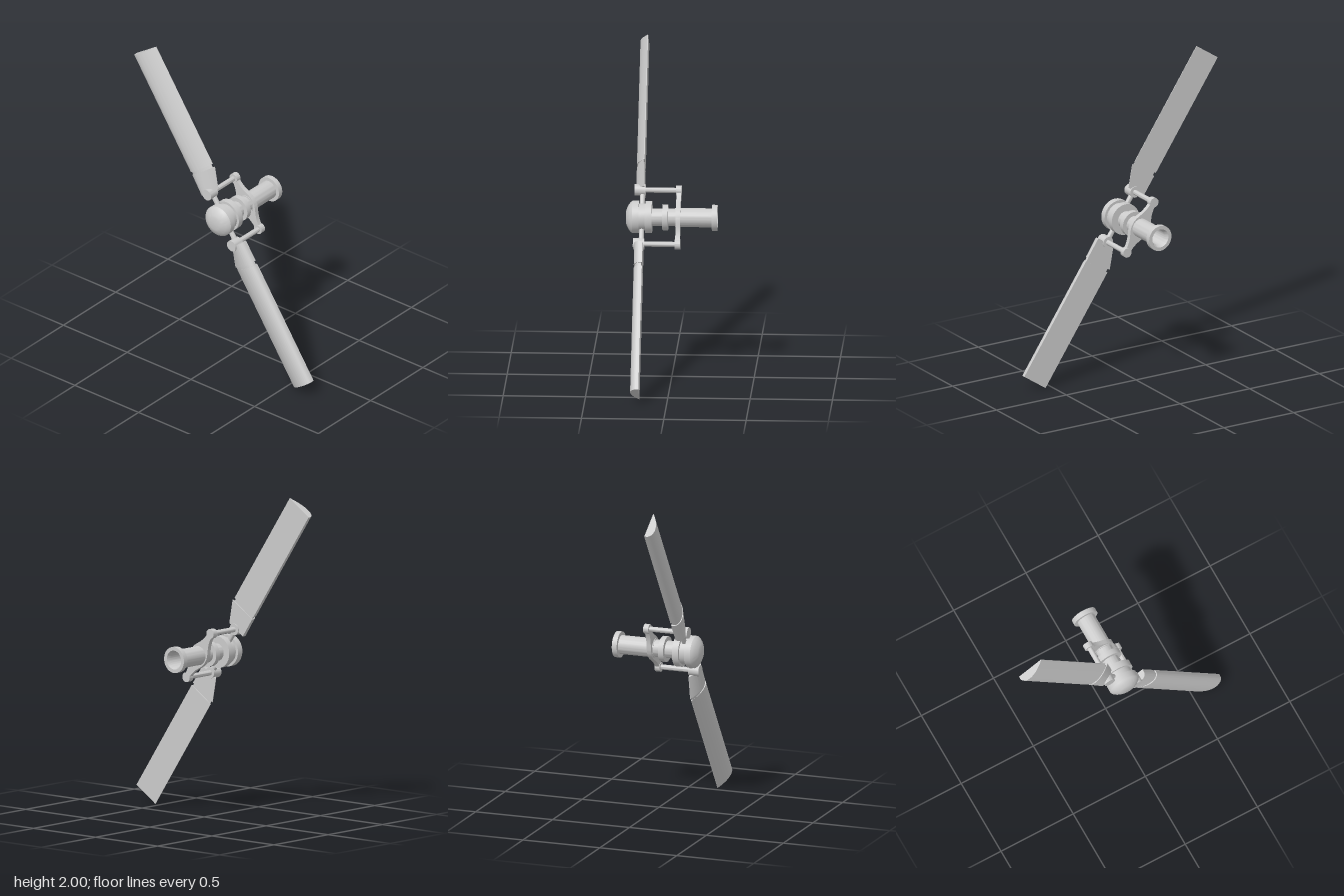
import * as THREE from 'three';
import { toCreasedNormals } from 'three/addons/utils/BufferGeometryUtils.js';

const material = new THREE.MeshStandardMaterial({ color: 0xcccccc });
const TILT = 0.592; // lean of the blade axis
const PIVOT = 0.173; // distance of the pitch joints from the rotor axis

function part(name, geometry, crease = 0.6) {
  const mesh = new THREE.Mesh(toCreasedNormals(geometry, crease), material);
  mesh.name = name;
  return mesh;
}

// Cylinder lying along z between z0 and z1
function zCylinder(name, radius, z0, z1, y) {
  const g = new THREE.CylinderGeometry(radius, radius, z1 - z0, 32);
  g.rotateX(Math.PI / 2).translate(0, y, (z0 + z1) / 2);
  return part(name, g);
}

// Flat-backed airfoil running from v0 to v1; its trailing edge moves from t0 to t1
function airfoil(name, v0, v1, lead, t0, t1, inset = 0) {
  const back = 0.17 + inset, front = 0.222 - inset, h = front - back;
  const shape = new THREE.Shape();
  shape.moveTo(1, back);
  shape.lineTo(1, back + 0.003);
  shape.bezierCurveTo(0.72, back + h * 0.75, 0.5, front, 0.3, front);
  shape.bezierCurveTo(0.15, front, 0.02, back + h * 0.75, 0, back + h * 0.35);
  shape.lineTo(0, back);
  shape.closePath();
  const g = new THREE.ExtrudeGeometry(shape, { depth: v1 - v0, bevelEnabled: false, curveSegments: 14 });
  g.rotateX(Math.PI / 2).translate(0, v1, 0);
  const p = g.attributes.position;
  for (let i = 0; i < p.count; i++) {
    const k = (p.getY(i) - v0) / (v1 - v0);
    p.setX(i, lead + p.getX(i) * (t0 + (t1 - t0) * k - lead));
  }
  return part(name, g);
}

// One blade with its grip, joint and control rod, pointing along +y
function bladeArm() {
  const arm = new THREE.Group();
  arm.name = 'bladeArm';
  arm.add(
    airfoil('blade', 0.335, 1.131, -0.075, 0.108, 0.108),
    airfoil('bladeConnector', 0.305, 0.345, -0.068, 0.1, 0.1, 0.006),
    airfoil('bladeRoot', 0.179, 0.315, -0.075, 0.055, 0.114),
    zCylinder('pitchJoint', 0.035, 0.163, 0.231, PIVOT),
    zCylinder('controlRod', 0.016, -0.04, 0.18, PIVOT),
    zCylinder('linkEnd', 0.03, -0.056, -0.022, PIVOT)
  );
  const spindle = new THREE.CylinderGeometry(0.018, 0.014, 0.17, 24);
  spindle.translate(0, 0.115, 0.181);
  arm.add(part('spindle', spindle));
  return arm;
}

// Hub, collars and hollow shaft turned as one profile of [radius, z]
function hubAndShaft() {
  const profile = [
    [0, -0.08], [0.046, -0.08], [0.046, -0.25], [0.058, -0.277], [0.08, -0.277], [0.08, -0.245],
    [0.058, -0.245], [0.058, -0.02], [0.053, -0.02], [0.053, 0.022], [0.079, 0.022], [0.079, 0.056],
    [0.053, 0.056], [0.053, 0.12], [0.098, 0.12], [0.098, 0.16], [0.082, 0.16], [0.082, 0.199],
    [0.099, 0.199], [0.099, 0.238], [0.092, 0.248], [0.078, 0.26], [0.055, 0.272], [0.04, 0.277], [0, 0.277]
  ].map(([r, z]) => new THREE.Vector2(r, z));
  const g = new THREE.LatheGeometry(profile, 48);
  g.rotateX(Math.PI / 2);
  return part('hubAndShaft', g);
}

// Control yoke: concave arms reaching from the shaft to both link ends
function yoke() {
  const s = new THREE.Shape();
  s.moveTo(0.066, 0);
  s.bezierCurveTo(0.066, 0.06, 0.018, 0.075, 0.018, PIVOT);
  s.lineTo(-0.018, PIVOT);
  s.bezierCurveTo(-0.018, 0.075, -0.066, 0.06, -0.066, 0);
  s.bezierCurveTo(-0.066, -0.06, -0.018, -0.075, -0.018, -PIVOT);
  s.lineTo(0.018, -PIVOT);
  s.bezierCurveTo(0.018, -0.075, 0.066, -0.06, 0.066, 0);
  const bore = new THREE.Path();
  bore.absarc(0, 0, 0.05, 0, Math.PI * 2, true);
  s.holes.push(bore);
  const g = new THREE.ExtrudeGeometry(s, { depth: 0.028, bevelEnabled: false, curveSegments: 16 });
  g.translate(0, 0, -0.053);
  return part('controlYoke', g);
}

export function createModel() {
  const model = new THREE.Group();
  model.name = 'rotor';
  const rotor = new THREE.Group();
  rotor.name = 'rotorAssembly';
  rotor.position.y = 1;
  rotor.rotation.z = TILT;
  rotor.add(hubAndShaft(), yoke());
  for (let i = 0; i < 2; i++) {
    const arm = bladeArm();
    arm.rotation.z = i * Math.PI;
    rotor.add(arm);
  }
  model.add(rotor);
  return model;
}
